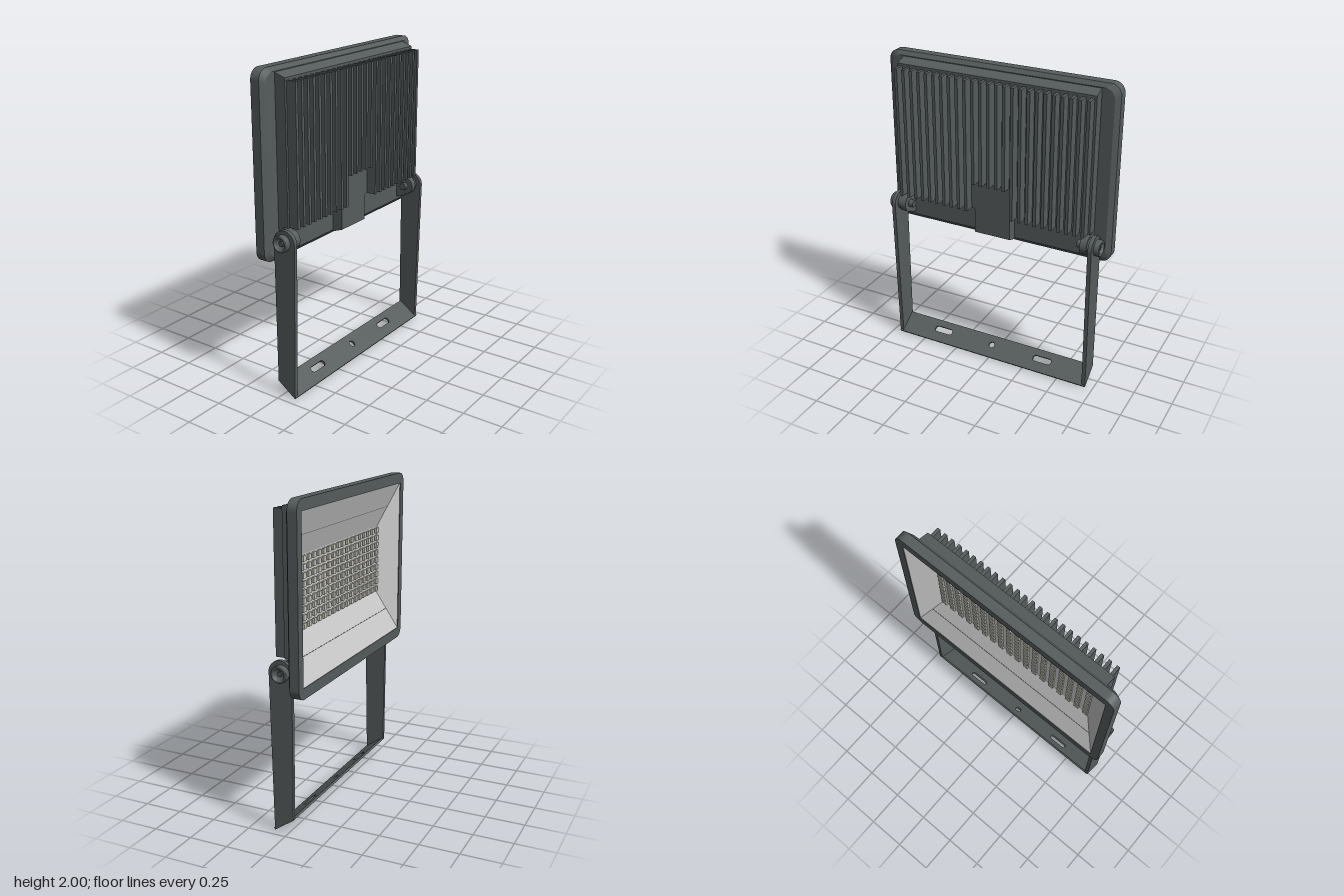
import * as THREE from 'three';

const mat = (name, color, side = THREE.FrontSide) => {
  const m = new THREE.MeshStandardMaterial({ color, side });
  m.name = name;
  return m;
};

const CY = 1.4325; // height of the lamp's centre

export function createModel() {
  const root = new THREE.Group();
  root.name = 'floodlight';
  const grey = mat('dark grey metal', 0x565c5c);
  const silver = mat('silver reflector', 0xcdcdcd, THREE.DoubleSide);
  const led = mat('pale led', 0xc6c5ba);

  const add = (name, geo, material = grey, parent = root) => {
    const m = new THREE.Mesh(geo, material);
    m.name = name;
    parent.add(m);
    return m;
  };
  const extrude = (shape, depth, z) => new THREE.ExtrudeGeometry(shape,
    { depth, bevelEnabled: false, curveSegments: 8 }).translate(0, 0, z);
  const warp = (geo, rule) => {
    const p = geo.attributes.position;
    const v = new THREE.Vector3();
    for (let i = 0; i < p.count; i++) {
      rule(v.fromBufferAttribute(p, i));
      p.setXYZ(i, v.x, v.y, v.z);
    }
    geo.computeVertexNormals();
    return geo;
  };
  // rounded rectangle centred on (x, y), with half sizes a and b
  const roundRect = (x, y, a, b, r, C = THREE.Shape) => {
    const s = new C();
    s.moveTo(x - a + r, y - b);
    s.lineTo(x + a - r, y - b);
    s.absarc(x + a - r, y - b + r, r, -Math.PI / 2, 0);
    s.lineTo(x + a, y + b - r);
    s.absarc(x + a - r, y + b - r, r, 0, Math.PI / 2);
    s.lineTo(x - a + r, y + b);
    s.absarc(x - a + r, y + b - r, r, Math.PI / 2, Math.PI);
    s.lineTo(x - a, y - b + r);
    s.absarc(x - a + r, y - b + r, r, Math.PI, Math.PI * 1.5);
    return s;
  };
  const hole = (x, y, a, b, r = 0.005) => roundRect(x, y, a, b, r, THREE.Path);

  // Rim frame, then its tapered shoulder
  const rim = roundRect(0, CY, 0.765, 0.5675, 0.065);
  rim.holes.push(hole(0, CY, 0.71, 0.5));
  add('rim', extrude(rim, 0.06, -0.115));
  const shoulder = roundRect(0, CY, 0.765, 0.5675, 0.065);
  shoulder.holes.push(hole(0, CY, 0.64, 0.35));
  add('shoulder', warp(extrude(shoulder, 0.02, -0.055), (v) => {
    const outer = Math.abs(v.x) > 0.66 || Math.abs(v.y - CY) > 0.4;
    if (outer && v.z > -0.04) {
      v.x *= 0.96;
      v.y = CY + (v.y - CY) * 0.955;
    }
  }));

  // Heat sink slab with a tongue down the middle, sloped at top and bottom
  const slabShape = () => {
    const s = new THREE.Shape();
    s.moveTo(-0.655, 1.075);
    s.lineTo(-0.15, 1.075);
    s.quadraticCurveTo(-0.125, 1.075, -0.125, 1.05);
    s.lineTo(-0.125, 0.88);
    s.lineTo(0.12, 0.88);
    s.lineTo(0.12, 1.05);
    s.quadraticCurveTo(0.12, 1.075, 0.145, 1.075);
    s.lineTo(0.655, 1.075);
    s.lineTo(0.655, 1.97);
    s.lineTo(-0.655, 1.97);
    return s;
  };
  const slope = (v) => {
    const t = (v.z + 0.035) / 0.07;
    if (v.y > 1.9) v.y -= 0.025 * t;
    if (v.y < 0.95) v.y += 0.025 * t;
  };
  const slabBack = slabShape();
  slabBack.holes.push(hole(0, CY, 0.62, 0.31));
  add('heatSinkBase', warp(extrude(slabBack, 0.04, -0.035), slope));
  add('heatSinkFace', warp(extrude(slabShape(), 0.03, 0.005), slope));

  // Cooling fins, shorter above the tongue
  const fins = new THREE.Group();
  fins.name = 'coolingFins';
  root.add(fins);
  for (let i = -12; i <= 12; i++) {
    const low = Math.abs(i) <= 2 ? 1.265 : 1.075;
    const g = new THREE.BoxGeometry(0.02, 1.93 - low, 0.066);
    add('fin', g.translate(i * 0.0526, (1.93 + low) / 2, 0.065), grey, fins);
  }

  // Reflector: four sloping walls and a flat floor
  const ring = (a, b, z) => [[-a, -b], [a, -b], [a, b], [-a, b]].flatMap(([x, y]) => [x, CY + y, z]);
  const idx = [4, 6, 5, 4, 7, 6];
  for (let i = 0; i < 4; i++) {
    const j = (i + 1) % 4;
    idx.push(i, i + 4, j, j, i + 4, j + 4);
  }
  let reflector = new THREE.BufferGeometry();
  reflector.setAttribute('position', new THREE.Float32BufferAttribute(
    [...ring(0.71, 0.5, -0.111), ...ring(0.575, 0.222, -0.005)], 3));
  reflector.setIndex(idx);
  reflector = reflector.toNonIndexed();
  reflector.computeVertexNormals();
  add('reflector', reflector, silver);

  // Grid of light chips
  const chips = new THREE.Group();
  chips.name = 'lightChips';
  root.add(chips);
  for (let c = 0; c < 18; c++) {
    for (let r = 0; r < 9; r++) {
      const g = new THREE.BoxGeometry(0.034, 0.034, 0.014);
      add('chip', g.translate((c - 8.5) * 0.0655, CY + (r - 4) * 0.0495, -0.011), led, chips);
    }
  }

  // Side profiles are drawn as (z, y) and extruded along x from x0 to x0 + d
  const sideways = (shape, x0, d) => extrude(shape, d, 0).rotateY(-Math.PI / 2).translate(x0 + d, 0, 0);
  const arm = new THREE.Shape();
  arm.moveTo(0.095, 0);
  arm.lineTo(0.114, 0.97);
  arm.absarc(0.04, 1.0, 0.075, 0, Math.PI);
  arm.lineTo(-0.035, 0.93);
  arm.lineTo(-0.03, 0.087);
  const lug = new THREE.Shape();
  lug.moveTo(-0.04, 0.91);
  lug.lineTo(0.03, 0.93);
  lug.absarc(0.03, 1.0, 0.06, -Math.PI / 2, Math.PI / 2);
  lug.lineTo(-0.04, 1.088);

  // Pivot parts on both sides: lug, spacer, bolt, arm and knob
  const knobProfile = [[0, 0.012], [0.03, 0.012], [0.036, 0.035], [0.048, 0.035], [0.052, 0.031], [0.052, 0]]
    .map(([r, h]) => new THREE.Vector2(r, h)).reverse();
  const pivot = (geo, x, s) => geo.rotateZ(-s * Math.PI / 2).translate(s * x, 1.0, 0.033);
  for (const s of [1, -1]) {
    const side = s > 0 ? 'left' : 'right';
    add(side + 'Arm', sideways(arm, s > 0 ? 0.675 : -0.7, 0.025));
    add(side + 'Lug', sideways(lug, s > 0 ? 0.612 : -0.655, 0.043));
    add(side + 'Spacer', pivot(new THREE.CylinderGeometry(0.05, 0.05, 0.022, 24), 0.665, s));
    add(side + 'Bolt', pivot(new THREE.CylinderGeometry(0.025, 0.025, 0.035, 6), 0.597, s));
    add(side + 'Knob', pivot(new THREE.LatheGeometry(knobProfile, 24), 0.7, s));
    add(side + 'KnobCore', pivot(new THREE.CylinderGeometry(0.016, 0.016, 0.014, 6), 0.717, s));
  }

  // Tilted foot plate with two slots and a centre hole
  const foot = roundRect(0, 0.077, 0.7, 0.077, 0.002);
  foot.holes.push(hole(-0.385, 0.088, 0.065, 0.02, 0.018), hole(0.365, 0.088, 0.065, 0.02, 0.018),
    hole(-0.01, 0.088, 0.02, 0.02, 0.019));
  add('footPlate', extrude(foot, 0.014, 0).rotateX(-Math.atan2(0.125, 0.087)).translate(0, 0, 0.095));

  return root;
}
